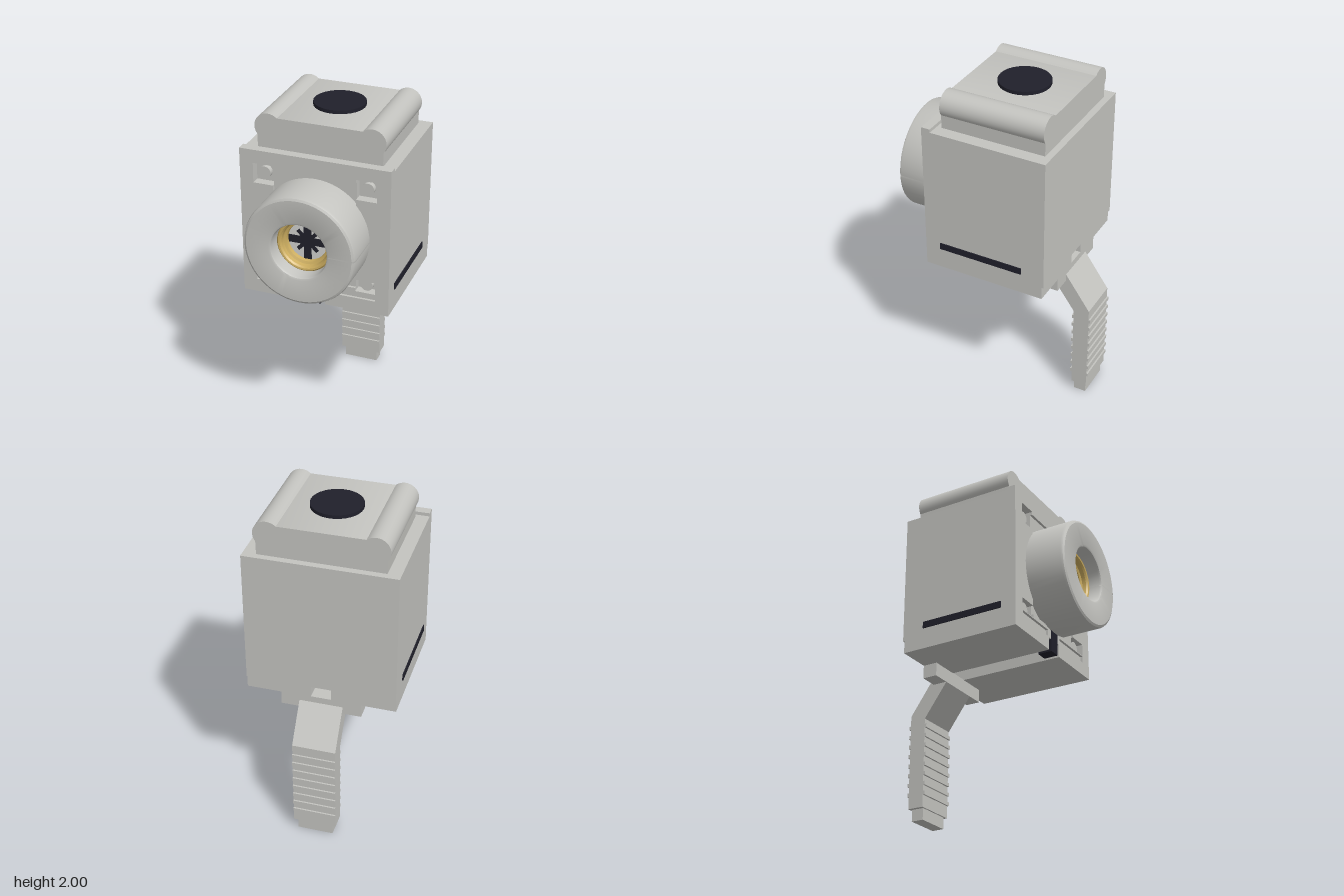
import * as THREE from 'three';
import { toCreasedNormals } from 'three/addons/utils/BufferGeometryUtils.js';

export function createModel() {
  const root = new THREE.Group();
  root.name = 'keyBlock';
  const mat = (name, color, side = THREE.FrontSide) => {
    const m = new THREE.MeshStandardMaterial({ color, side });
    m.name = name;
    return m;
  };
  const grey = mat('light grey', 0xc3c3bf, THREE.DoubleSide);
  const dark = mat('dark navy', 0x20202b);
  const gold = mat('brass', 0xcdae60, THREE.DoubleSide);
  const pale = mat('pale grey', 0xd2d2d0);

  const add = (name, geo, material) => {
    const m = new THREE.Mesh(geo, material);
    m.name = name;
    root.add(m);
    return m;
  };
  // box from its min and max corners
  const box = (name, x0, x1, y0, y1, z0, z1, material = grey) => {
    const m = add(name, new THREE.BoxGeometry(x1 - x0, y1 - y0, z1 - z0), material);
    m.position.set((x0 + x1) / 2, (y0 + y1) / 2, (z0 + z1) / 2);
    return m;
  };
  const poly = (pts, Type = THREE.Shape) => new Type(pts.map(p => new THREE.Vector2(...p)));
  const mirrored = half => [...half, ...half.slice().reverse().map(([x, y]) => [-x, y])];
  const rect = (x0, x1, y0, y1) => poly([[x0, y0], [x0, y1], [x1, y1], [x1, y0]], THREE.Path);
  const plate = (name, shape, z0, z1) => {
    const g = new THREE.ExtrudeGeometry(shape, { depth: z1 - z0, bevelEnabled: false, curveSegments: 20 });
    g.translate(0, 0, z0);
    return add(name, toCreasedNormals(g, 0.5), grey);
  };
  // surface of revolution about the z axis, profile given as [radius, z]
  const turned = (name, pts, material, start = 0, length = Math.PI * 2) => {
    const g = new THREE.LatheGeometry(pts.map(p => new THREE.Vector2(...p)), 56, start, length);
    const m = add(name, toCreasedNormals(g, 0.5), material);
    m.rotation.x = Math.PI / 2;
    m.position.y = 1.36;
    return m;
  };

  // Body with a slot running along the underside
  box('body', -0.445, 0.445, 0.98, 1.79, -0.425, 0.28);
  for (const s of [-1, 1]) {
    const lower = box('bodyFoot', 0.06, 0.445, 0.902, 0.98, -0.415, 0.28);
    lower.position.x *= s;
    const x = s * 0.4475;
    box('sideStripe', x - 0.0035, x + 0.0035, 1.03, 1.07, -0.285, 0.24, dark);
  }

  // Front plate: back layer has corner pockets, front layer adds a shallow panel
  const outline = () => poly(mirrored([[0.06, 0.98], [0.06, 0.902], [0.445, 0.902], [0.445, 1.81]]));
  const inner = outline(), outer = outline();
  for (const [x0, x1] of [[0.245, 0.365], [-0.365, -0.245]]) {
    inner.holes.push(rect(x0, x1, 1.61, 1.73), rect(x0, x1, 1.03, 1.105));
  }
  outer.holes.push(poly(mirrored([
    [0.245, 1.05], [0.245, 1.03], [0.365, 1.03], [0.365, 1.105], [0.245, 1.105],
    [0.245, 1.61], [0.365, 1.61], [0.365, 1.73], [0.245, 1.73], [0.245, 1.71],
  ]), THREE.Path));
  outer.holes.push(rect(0.07, 0.365, 0.985, 1.025), rect(-0.365, -0.07, 0.985, 1.025));
  plate('frontPlateInner', inner, 0.28, 0.32);
  plate('frontPlateOuter', outer, 0.32, 0.335);

  // Pins in the corner pockets
  for (const x of [-0.305, 0.305]) for (const y of [1.067, 1.67]) {
    const pin = add('cornerPin', new THREE.CylinderGeometry(0.036, 0.036, 0.03, 20), grey);
    pin.rotation.x = Math.PI / 2;
    pin.position.set(x, y, 0.295);
  }
  box('frontLatch', -0.037, 0.037, 0.902, 1.06, 0.25, 0.338, dark);

  // Round collar with a narrow notch on its left side
  turned('collar', [[0.327, 0.32], [0.327, 0.56], [0.322, 0.573], [0.31, 0.58], [0.178, 0.58],
    [0.167, 0.575], [0.162, 0.563], [0.162, 0.41]], grey, Math.PI / 2 + 0.015, Math.PI * 2 - 0.03);
  turned('collarCore', [[0.312, 0.32], [0.312, 0.573], [0.17, 0.573], [0.163, 0.56], [0.163, 0.41]], grey);

  // Brass ring and the star-slotted disc inside it
  turned('brassRing', [[0.162, 0.49], [0.153, 0.5], [0.143, 0.498], [0.135, 0.488], [0.132, 0.465],
    [0.118, 0.458], [0.114, 0.42]], gold);
  const disc = add('screwFace', new THREE.CylinderGeometry(0.125, 0.125, 0.03, 40), pale);
  disc.rotation.x = Math.PI / 2;
  disc.position.set(0, 1.36, 0.42);
  for (let i = 0; i < 4; i++) {
    const wide = i % 2 === 0;
    const bar = add('starSlot', new THREE.BoxGeometry(wide ? 0.225 : 0.165, wide ? 0.045 : 0.022, 0.006), dark);
    bar.position.set(0, 1.36, wide ? 0.437 : 0.4365);
    bar.rotation.z = i * Math.PI / 4;
  }

  // Top block with a rounded rail along each side
  const half = [[0.368, 1.785]];
  for (let i = 0; i <= 16; i++) {
    const a = -0.65 + (2.31 + 0.65) * i / 16;
    half.push([0.305 + 0.081 * Math.cos(a), 1.919 + 0.081 * Math.sin(a)]);
  }
  half.push([0.25, 1.979]);
  plate('topBlock', poly(mirrored(half)), -0.385, 0.25);
  const button = add('topButton', new THREE.CylinderGeometry(0.151, 0.151, 0.025, 32), dark);
  button.position.set(0, 1.9875, -0.07);

  // Cranked leg, drawn in side profile and extruded across
  box('legCrossbar', -0.24, 0.24, 0.82, 0.905, -0.415, -0.325);
  const side = poly([[-0.325, 0.82], [-0.325, 0.9], [-0.415, 0.9], [-0.415, 0.865], [-0.57, 0.645],
    [-0.57, 0.07], [-0.472, 0.07], [-0.472, 0.615]]);
  const legGeo = new THREE.ExtrudeGeometry(side, { depth: 0.26, bevelEnabled: false });
  legGeo.translate(0, 0, -0.13);
  legGeo.rotateY(-Math.PI / 2);
  add('leg', legGeo, grey);
  box('legTip', -0.108, 0.108, 0, 0.07, -0.558, -0.482);
  for (let i = 0; i < 8; i++) {
    const y = 0.155 + i * 0.0595;
    box('legRib', -0.13, 0.13, y - 0.011, y + 0.011, -0.58, -0.461);
  }
  return root;
}
